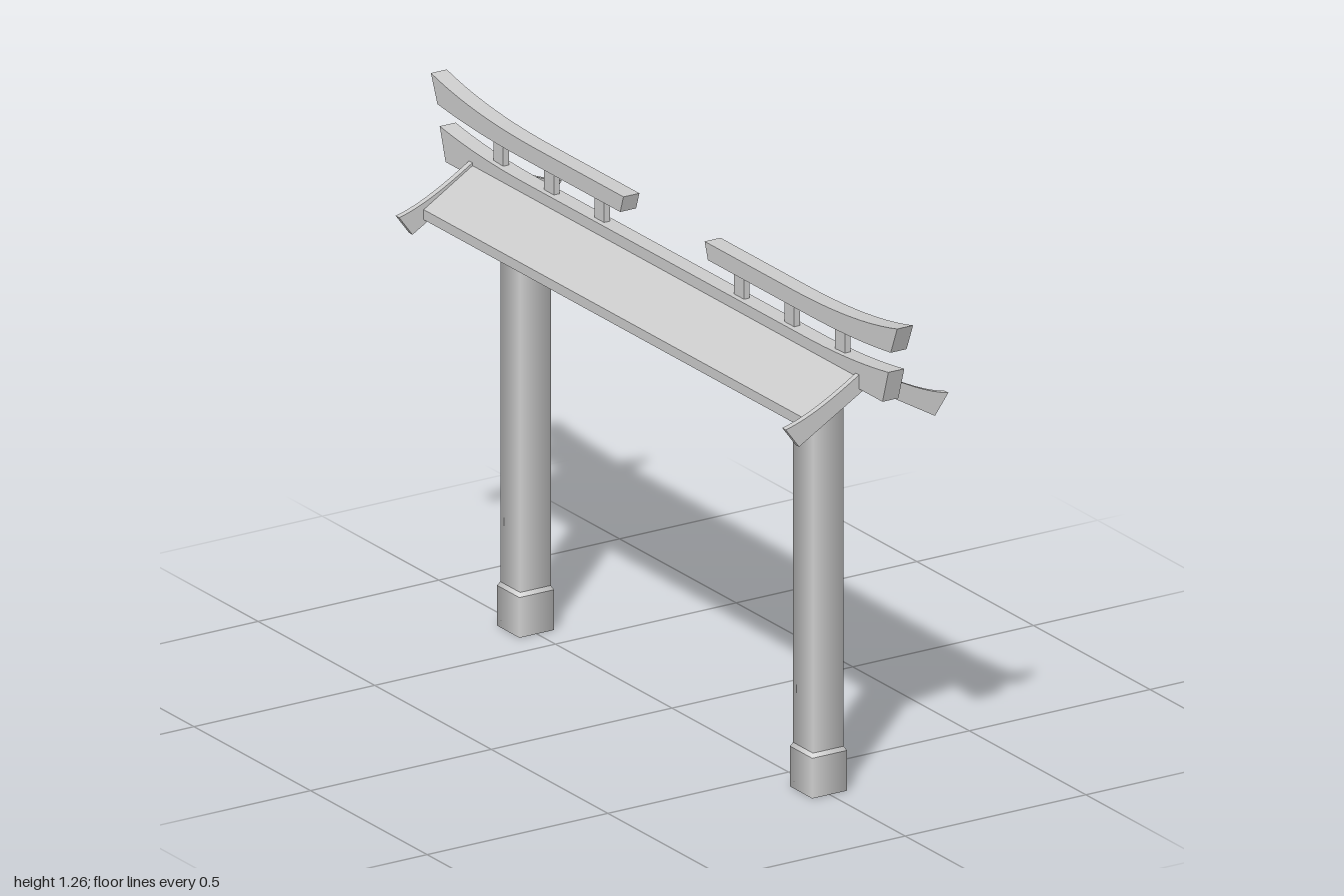
import * as THREE from 'three';
import { toCreasedNormals } from 'three/addons/utils/BufferGeometryUtils.js';

const grey = new THREE.MeshStandardMaterial({ color: 0xcccccc });

function add(parent, name, geometry) {
  const mesh = new THREE.Mesh(geometry, grey);
  mesh.name = name;
  parent.add(mesh);
  return mesh;
}

// Extrude a shape, centred on its own depth, with softly shaded curves
function slab(shape, depth) {
  const g = new THREE.ExtrudeGeometry(shape, { depth, bevelEnabled: false, curveSegments: 10 });
  g.translate(0, 0, -depth / 2);
  return toCreasedNormals(g, 0.5);
}

// Side profile drawn as (z, y), extruded across x
const sideSlab = (shape, width) => slab(shape, width).rotateY(-Math.PI / 2);

// Square post with soft shading: stacked [y, half width] levels
function pillar(name) {
  const group = new THREE.Group();
  group.name = name;
  const levels = [
    ['base', 0, 0.048, 0.1, 0.048],
    ['baseTaper', 0.1, 0.048, 0.11, 0.0425],
    ['shaft', 0.1, 0.0425, 0.975, 0.0425],
    ['collarTaper', 0.968, 0.0425, 0.978, 0.047],
    ['collar', 0.978, 0.047, 1.048, 0.047],
  ];
  for (const [part, y0, w0, y1, w1] of levels) {
    const g = new THREE.CylinderGeometry(w1 * Math.SQRT2, w0 * Math.SQRT2, y1 - y0, 4);
    g.rotateY(Math.PI / 4).translate(0, (y0 + y1) / 2, 0);
    add(group, part, g);
  }
  return group;
}

export function createModel() {
  const model = new THREE.Group();
  model.name = 'gate';

  // Lower beam with ends sweeping up and raked outward
  const beam = new THREE.Shape();
  beam.moveTo(-0.937, 1.064);
  beam.lineTo(0.937, 1.064);
  beam.lineTo(0.962, 1.145);
  beam.quadraticCurveTo(0.8, 1.12, 0.6, 1.12);
  beam.lineTo(-0.6, 1.12);
  beam.quadraticCurveTo(-0.8, 1.12, -0.962, 1.145);
  beam.closePath();
  add(model, 'lowerBeam', sideSlab(beam, 0.044));

  // Pitched roof
  const roof = new THREE.Shape();
  roof.moveTo(0, 1.105);
  roof.lineTo(-0.157, 1.01);
  roof.lineTo(-0.157, 0.985);
  roof.lineTo(0, 1.078);
  roof.lineTo(0.157, 0.985);
  roof.lineTo(0.157, 1.01);
  roof.closePath();
  add(model, 'roof', slab(roof, 1.645));

  // Flared gable board
  const gable = new THREE.Shape();
  gable.moveTo(0, 1.112);
  gable.lineTo(-0.03, 1.094);
  gable.quadraticCurveTo(-0.15, 1.02, -0.225, 1.004);
  gable.lineTo(-0.188, 0.954);
  gable.lineTo(0, 1.064);
  gable.lineTo(0.188, 0.954);
  gable.lineTo(0.225, 1.004);
  gable.quadraticCurveTo(0.15, 1.02, 0.03, 1.094);
  gable.closePath();

  // Upper beam half, curving up toward its outer tip
  const upper = new THREE.Shape();
  upper.moveTo(0.188, 1.178);
  upper.lineTo(0.62, 1.178);
  upper.quadraticCurveTo(0.82, 1.178, 0.972, 1.197);
  upper.lineTo(1.0, 1.265);
  upper.quadraticCurveTo(0.82, 1.22, 0.55, 1.22);
  upper.lineTo(0.174, 1.22);
  upper.closePath();

  // Each end: pillar, gable board, upper beam and its struts
  for (const [side, turn] of [['front', 0], ['back', Math.PI]]) {
    const end = new THREE.Group();
    end.name = side + 'End';
    end.rotation.y = turn;

    const post = pillar(side + 'Pillar');
    post.position.z = 0.628;
    end.add(post);

    add(end, side + 'GableBoard', slab(gable, 0.015)).position.z = 0.829;
    add(end, side + 'UpperBeam', sideSlab(upper, 0.044));

    for (const z of [0.3, 0.515, 0.733]) {
      const strut = add(end, side + 'Strut', new THREE.BoxGeometry(0.016, 0.07, 0.042));
      strut.position.set(0, 1.15, z);
    }
    model.add(end);
  }
  return model;
}
